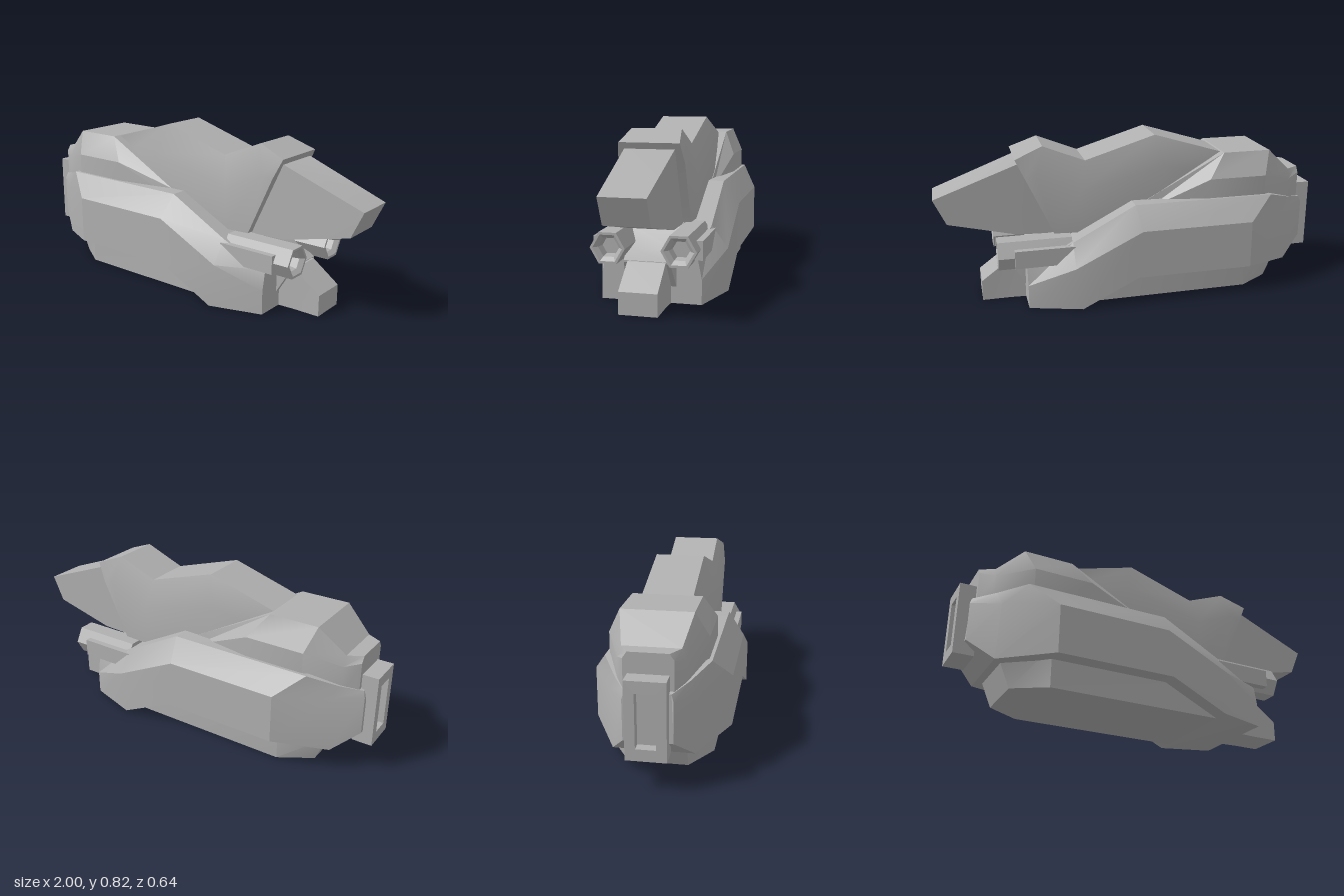
import * as THREE from 'three';
import { toCreasedNormals } from 'three/addons/utils/BufferGeometryUtils.js';

const hullGrey = new THREE.MeshStandardMaterial({ color: 0xb0b0b0 });
hullGrey.name = 'hull grey';

function part(name, geometry) {
  const mesh = new THREE.Mesh(toCreasedNormals(geometry, 0.45), hullGrey);
  mesh.name = name;
  return mesh;
}

// Lofts sections running towards +x. Each section lists the +z half of a ring
// from bottom to top as [x, y, z]; the other half is mirrored.
function loft(name, sections) {
  const n = sections[0].length * 2;
  const positions = [];
  const index = [];
  for (const half of sections) {
    const mirrored = half.map(([x, y, z]) => [x, y, -z]).reverse();
    for (const p of [...half, ...mirrored]) positions.push(...p);
  }
  for (let i = 0; i < sections.length - 1; i++) {
    for (let j = 0; j < n; j++) {
      const a = i * n + j;
      const d = i * n + (j + 1) % n;
      index.push(a, a + n, d + n, a, d + n, d);
    }
  }
  const last = (sections.length - 1) * n;
  for (let j = 1; j < n - 1; j++) {
    index.push(0, j, j + 1, last, last + j + 1, last + j);
  }
  const geometry = new THREE.BufferGeometry();
  geometry.setAttribute('position', new THREE.Float32BufferAttribute(positions, 3));
  geometry.setIndex(index);
  return part(name, geometry);
}

function rectangle(path, w, y0, y1) {
  path.moveTo(-w, y0);
  path.lineTo(w, y0);
  path.lineTo(w, y1);
  path.lineTo(-w, y1);
  path.closePath();
  return path;
}

export function createModel() {
  const model = new THREE.Group();
  model.name = 'spacecraft';

  // Wide lower hull: lower edge, shoulder edge, top edge
  model.add(loft('lowerHull', [
    [[-0.95, 0.21, 0.11], [-0.95, 0.4, 0.11], [-0.94, 0.43, 0.1]],
    [[-0.83, 0.11, 0.185], [-0.82, 0.39, 0.19], [-0.84, 0.455, 0.165]],
    [[-0.58, 0.14, 0.32], [-0.58, 0.385, 0.32], [-0.71, 0.5, 0.24]],
    [[0.02, 0.14, 0.32], [0, 0.385, 0.32], [0.02, 0.5, 0.24]],
    [[0.31, 0, 0.32], [0.34, 0.22, 0.32], [0.34, 0.33, 0.24]],
    [[0.57, 0, 0.24], [0.57, 0.12, 0.24], [0.57, 0.22, 0.22]],
  ]));

  // Recessed flat keel
  model.add(loft('keel', [
    [[-0.74, 0, 0.14], [-0.8, 0.14, 0.14]],
    [[-0.58, 0, 0.24], [-0.58, 0.2, 0.24]],
    [[0.35, 0, 0.24], [0.35, 0.2, 0.24]],
  ]));

  // Rear shoulders
  model.add(loft('rearShoulders', [
    [[-0.92, 0.4, 0.11], [-0.92, 0.57, 0.11], [-0.92, 0.6, 0.09]],
    [[-0.85, 0.4, 0.15], [-0.85, 0.55, 0.15], [-0.85, 0.6, 0.13]],
    [[-0.68, 0.4, 0.225], [-0.68, 0.6, 0.225], [-0.72, 0.72, 0.165]],
    [[-0.38, 0.4, 0.225], [-0.38, 0.6, 0.225], [-0.47, 0.72, 0.165]],
    [[-0.06, 0.4, 0.17], [-0.06, 0.45, 0.17], [-0.06, 0.5, 0.165]],
  ]));

  // Humped upper deck
  model.add(loft('upperDeck', [
    [[-0.47, 0.45, 0.12], [-0.47, 0.6, 0.12], [-0.47, 0.715, 0.12]],
    [[-0.1, 0.4, 0.163], [-0.15, 0.67, 0.163], [-0.11, 0.825, 0.12]],
    [[0.28, 0.35, 0.155], [0.28, 0.57, 0.16], [0.25, 0.715, 0.12]],
    [[0.42, 0.355, 0.155], [0.5, 0.66, 0.16], [0.46, 0.8, 0.12]],
    [[0.43, 0.38, 0.155], [0.555, 0.65, 0.158], [0.6, 0.745, 0.143]],
  ]));

  // Upper beak
  model.add(loft('beak', [
    [[0.4, 0.345, 0.115], [0.5, 0.72, 0.118]],
    [[0.6, 0.352, 0.116], [0.59, 0.715, 0.118]],
    [[0.94, 0.43, 0.105], [1, 0.56, 0.105]],
  ]));

  // Sloping chin and lower prow
  model.add(loft('chin', [
    [[0.25, 0.08, 0.12], [0.25, 0.36, 0.12]],
    [[0.48, 0.08, 0.12], [0.48, 0.345, 0.12]],
    [[0.57, 0.08, 0.12], [0.57, 0.25, 0.12]],
    [[0.64, 0.2, 0.11], [0.64, 0.21, 0.11]],
  ]));
  model.add(loft('prow', [
    [[0.5, 0, 0.1], [0.5, 0.21, 0.1]],
    [[0.65, 0, 0.09], [0.65, 0.208, 0.09]],
    [[0.79, 0, 0.09], [0.79, 0.105, 0.09]],
  ]));

  // Hollow six-sided barrels with outer sleeves
  const profile = [
    [0, 0.34], [0.083, 0.34], [0.083, 0.71], [0.07, 0.71],
    [0.05, 0.69], [0.042, 0.65], [0, 0.65],
  ].map(([r, h]) => new THREE.Vector2(r, h));
  for (const side of [1, -1]) {
    const barrel = part(side > 0 ? 'frontBarrel' : 'backBarrel', new THREE.LatheGeometry(profile, 6));
    barrel.rotation.z = -Math.PI / 2;
    barrel.position.set(0, 0.278, side * 0.165);
    const sleeve = part(side > 0 ? 'frontSleeve' : 'backSleeve', new THREE.BoxGeometry(0.3, 0.09, 0.06));
    sleeve.position.set(0.48, 0.27, side * 0.228);
    model.add(barrel, sleeve);
  }

  // Open rectangular exhaust at the tail
  const outline = rectangle(new THREE.Shape(), 0.09, 0.145, 0.505);
  outline.holes.push(rectangle(new THREE.Path(), 0.045, 0.2, 0.45));
  const exhaust = part('exhaustFrame', new THREE.ExtrudeGeometry(outline, { depth: 0.1, bevelEnabled: false }));
  exhaust.rotation.y = Math.PI / 2;
  exhaust.position.x = -1;
  const backing = part('exhaustBacking', new THREE.BoxGeometry(0.05, 0.3, 0.14));
  backing.position.set(-0.93, 0.33, 0);
  model.add(exhaust, backing);

  return model;
}
